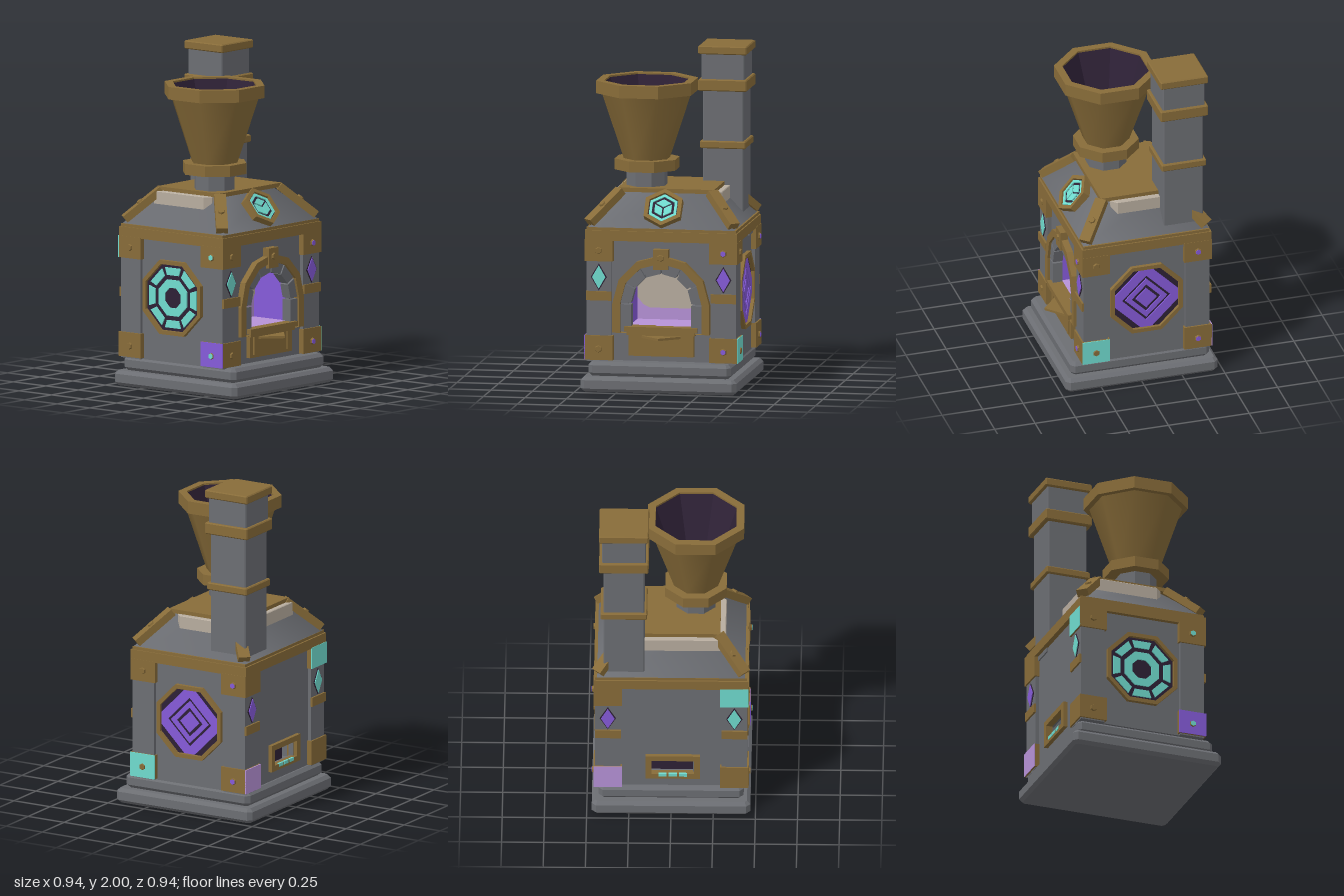
import * as THREE from 'three';

const mat = (name, color) => {
  const m = new THREE.MeshStandardMaterial({ color });
  m.name = name;
  return m;
};
const stone = mat('stone', 0x6c6e73), brass = mat('brass', 0x886c39), teal = mat('teal', 0x70dccf);
const violet = mat('violet', 0x865bda), lavender = mat('lavender', 0xb792d8);
const dark = mat('dark plum', 0x2e2136), cream = mat('cream', 0xb8ad9f);
dark.side = THREE.DoubleSide;

const PI = Math.PI, ZC = -0.03, C8 = Math.cos(PI / 8);

function add(parent, name, geo, material, x = 0, y = 0, z = 0) {
  const m = new THREE.Mesh(geo, material);
  m.name = name;
  m.position.set(x, y, z);
  parent.add(m);
  return m;
}
function addGroup(parent, name, x = 0, y = 0, z = 0) {
  const g = new THREE.Group();
  g.name = name;
  g.position.set(x, y, z);
  parent.add(g);
  return g;
}
const box = (p, name, m, x0, x1, y0, y1, z0, z1) =>
  add(p, name, new THREE.BoxGeometry(x1 - x0, y1 - y0, z1 - z0), m, (x0 + x1) / 2, (y0 + y1) / 2, (z0 + z1) / 2);
const pts = list => list.map(([x, y]) => new THREE.Vector2(x, y));
const poly = (n, r, start = 0) => Array.from({ length: n }, (_, i) => {
  const a = start + i * 2 * PI / n;
  return [r * Math.cos(a), r * Math.sin(a)];
});
const rect = (x, y0, y1) => [[-x, y0], [x, y0], [x, y1], [-x, y1]];
const oct = a => poly(8, a / C8, PI / 8);
function extrude(outer, depth, hole, bevel = 0) {
  const s = new THREE.Shape(pts(outer));
  if (hole) s.holes.push(new THREE.Path(pts(hole)));
  return new THREE.ExtrudeGeometry(s, {
    depth, bevelEnabled: bevel > 0, bevelSize: bevel, bevelThickness: bevel, bevelOffset: -bevel, bevelSegments: 1
  });
}
// Horizontal slab with cut corners and bevelled rims
function slab(p, name, m, hx, hz, y0, y1, cut, bevel, z = 0) {
  const a = hx - cut, b = hz - cut;
  const g = extrude([[hx, -b], [hx, b], [a, hz], [-a, hz], [-hx, b], [-hx, -b], [-a, -hz], [a, -hz]], y1 - y0 - 2 * bevel, null, bevel);
  add(p, name, g, m, 0, y0 + bevel, z).rotation.x = -PI / 2;
}
// Arch outline: straight legs down to y0, six straight segments on top
function arch(r, y0, cy = 0.52) {
  const out = [[-r, y0], [r, y0]];
  for (let i = 0; i <= 6; i++) out.push([r * Math.cos(i * PI / 6), cy + r * Math.sin(i * PI / 6)]);
  return out;
}
// Octagonal frustum measured across its flats
function octagon(top, bottom, h, open = false) {
  return new THREE.CylinderGeometry(top / C8, bottom / C8, h, 8, 1, open, PI / 8);
}
const flat = g => { const f = g.toNonIndexed(); f.computeVertexNormals(); return f; };

// Brass hex bolt along +z with a painted face
function bolt(p, face, x, y, z) {
  const b = addGroup(p, 'bolt', x, y, z);
  add(b, 'boltHead', flat(new THREE.CylinderGeometry(0.018, 0.022, 0.01, 6)), brass, 0, 0, 0.005).rotation.x = PI / 2;
  if (face !== brass) add(b, 'boltFace', extrude(poly(6, 0.017, PI / 6), 0.003), face, 0, 0, 0.0095);
  return b;
}

export function createModel() {
  const root = new THREE.Group();
  root.name = 'furnace';

  // Stepped base
  slab(root, 'lowerBase', stone, 0.47, 0.47, 0, 0.09, 0.025, 0.02);
  slab(root, 'upperBase', stone, 0.43, 0.43, 0.09, 0.175, 0.025, 0.02);

  // Hollow body
  for (const s of [-1, 1]) box(root, 'sideWall', stone, s * 0.41 - 0.02, s * 0.41 + 0.02, 0.17, 0.92, -0.395, 0.335);
  add(root, 'frontWall', extrude(rect(0.43, 0.17, 0.92), 0.03, arch(0.2, 0.37)), stone, 0, 0, 0.305);
  add(root, 'backWall', extrude(rect(0.43, 0.17, 0.92), 0.03, rect(0.13, 0.27, 0.37)), stone, 0, 0, -0.4);

  // Oven chamber
  box(root, 'ovenFloor', lavender, -0.2, 0.2, 0.36, 0.385, 0.05, 0.32);
  box(root, 'ovenBack', lavender, -0.2, 0.2, 0.38, 0.75, 0.05, 0.07);
  add(root, 'ovenGlow', extrude([[-0.12, 0.455], [0.12, 0.455], [0.16, 0.475], [0.195, 0.52], [0.195, 0.75], [-0.195, 0.75], [-0.195, 0.52], [-0.16, 0.475]], 0.006), cream, 0, 0, 0.07);
  for (const s of [-1, 1]) box(root, 'ovenSide', violet, s * 0.205 - 0.01, s * 0.205 + 0.01, 0.38, 0.75, 0.05, 0.306);
  box(root, 'ovenCeiling', violet, -0.2, 0.2, 0.735, 0.75, 0.05, 0.306);

  // Corner posts with brass blocks and middle straps
  for (const sx of [-1, 1]) for (const sz of [-1, 1]) {
    const post = addGroup(root, 'cornerPost', sx * 0.375, 0, ZC + sz * 0.315);
    box(post, 'postCore', stone, -0.075, 0.075, 0.17, 0.9, -0.075, 0.075);
    box(post, 'upperBlock', brass, -0.085, 0.085, 0.77, 0.9, -0.085, 0.085);
    box(post, 'lowerBlock', brass, -0.085, 0.085, 0.178, 0.325, -0.085, 0.085);
    box(post, 'strap', brass, -0.077, 0.077, 0.535, 0.59, sz * 0.08 - 0.006, sz * 0.08 + 0.006);
  }

  // Bolts, gems and painted plates; every side group faces its local +z
  const sides = [
    { name: 'frontSide', r: 0, px: 0.375, d: 0.4, bolts: [brass, violet], gems: [teal, violet], plates: [] },
    { name: 'leftSide', r: PI / 2, px: 0.315, d: 0.46, bolts: [brass, violet], plates: [[teal, -1, 0.178, 0.325]] },
    { name: 'backSide', r: PI, px: 0.375, d: 0.4, gems: [violet, teal],
      plates: [[lavender, -1, 0.178, 0.325], [teal, 1, 0.77, 0.9]] },
    { name: 'rightSide', r: -PI / 2, px: 0.315, d: 0.46, bolts: [brass, teal], plates: [[violet, 1, 0.178, 0.325]] }
  ];
  const side = {};
  for (const s of sides) {
    const g = side[s.name] = addGroup(root, s.name, 0, 0, ZC);
    g.rotation.y = s.r;
    [-1, 1].forEach((k, i) => {
      if (s.bolts) for (const y of [0.245, 0.835]) bolt(g, s.bolts[i], k * s.px, y, s.d);
      if (s.gems) {
        add(g, 'gemBack', extrude([[0, -0.08], [0.048, 0], [0, 0.08], [-0.048, 0]], 0.006), dark, k * s.px, 0.675, s.d - 0.012);
        add(g, 'gem', extrude([[0, -0.07], [0.04, 0], [0, 0.07], [-0.04, 0]], 0.008), s.gems[i], k * s.px, 0.675, s.d - 0.009);
      }
    });
    for (const [m, k, y0, y1] of s.plates) box(g, 'blockPlate', m, k * s.px - 0.085, k * s.px + 0.085, y0, y1, s.d - 0.003, s.d + 0.003);
  }

  // Octagonal windows on both sides
  for (const name of ['leftSide', 'rightSide']) {
    const w = addGroup(side[name], 'octagonWindow', 0, 0.56, 0.42);
    add(w, 'windowFrame', extrude(oct(0.222), 0.035, oct(0.198)), brass);
    add(w, 'windowPane', extrude(oct(0.2), 0.014), dark);
    if (name === 'leftSide') {
      const a = 0.195, b = 0.036;
      add(w, 'outerDiamond', extrude([[a, -b], [a, b], [b, a], [-b, a], [-a, b], [-a, -b], [-b, -a], [b, -a]], 0.008, poly(4, 0.15)), violet, 0, 0, 0.014);
      add(w, 'middleDiamond', extrude(poly(4, 0.13), 0.008, poly(4, 0.09)), violet, 0, 0, 0.014);
      add(w, 'centreDiamond', extrude(poly(4, 0.065), 0.008), violet, 0, 0, 0.014);
    } else {
      const o = oct(0.18), n = oct(0.135), mix = (p, q, t) => [p[0] + (q[0] - p[0]) * t, p[1] + (q[1] - p[1]) * t];
      for (let i = 0; i < 8; i++) {
        const j = (i + 1) % 8;
        add(w, 'ringSegment', extrude([mix(o[i], o[j], 0.1), mix(o[i], o[j], 0.9), mix(n[i], n[j], 0.9), mix(n[i], n[j], 0.1)], 0.008), teal, 0, 0, 0.014);
      }
      add(w, 'innerRing', extrude(oct(0.108), 0.008, oct(0.06)), teal, 0, 0, 0.014);
    }
  }

  // Oven mouth: brass arch, stone blocks, keystone
  add(root, 'brassArch', extrude(arch(0.292, 0.345), 0.05, arch(0.246, 0.346)), brass, 0, 0, 0.325);
  for (let i = 0; i < 6; i++) {
    const a = i * PI / 6 + 0.025, b = (i + 1) * PI / 6 - 0.025;
    const at = (r, t) => [r * Math.cos(t), 0.52 + r * Math.sin(t)];
    add(root, 'archStone', extrude([at(0.247, a), at(0.247, b), at(0.182, b), at(0.182, a)], 0.06), stone, 0, 0, 0.3);
  }
  for (const s of [-1, 1]) box(root, 'archLeg', stone, s * 0.214 - 0.033, s * 0.214 + 0.033, 0.35, 0.515, 0.3, 0.36);
  box(root, 'keystone', brass, -0.045, 0.045, 0.73, 0.85, 0.33, 0.382);
  bolt(root, brass, 0, 0.8, 0.382);

  // Tray under the mouth
  box(root, 'trayShelf', brass, -0.22, 0.22, 0.355, 0.385, 0.3, 0.387);
  box(root, 'trayMoulding', brass, -0.205, 0.205, 0.335, 0.355, 0.3, 0.378);
  box(root, 'trayBox', brass, -0.195, 0.195, 0.208, 0.335, 0.31, 0.362);
  for (const s of [-1, 1]) box(root, 'trayBracket', brass, s * 0.155 - 0.014, s * 0.155 + 0.014, 0.225, 0.335, 0.36, 0.372);
  add(root, 'trayLip', extrude([[-0.12, -0.36], [0, -0.468], [0.12, -0.36]], 0.014), brass, 0, 0.316, 0).rotation.x = -PI / 2;

  // Rear ash hatch
  add(root, 'hatchFrame', extrude(rect(0.162, 0.238, 0.4), 0.04, rect(0.126, 0.272, 0.366)), brass, -0.01, 0, -0.425);
  box(root, 'hatchVoid', dark, -0.2, 0.2, 0.18, 0.42, -0.28, -0.27);
  for (const x of [-0.07, -0.01, 0.05]) box(root, 'hatchEmber', teal, x - 0.024, x + 0.024, 0.255, 0.275, -0.428, -0.415);

  // Cornice and sloped roof with a softly shaded skin
  box(root, 'cornice', brass, -0.458, 0.458, 0.895, 0.955, ZC - 0.4, ZC + 0.4);
  box(root, 'corniceLip', brass, -0.45, 0.45, 0.955, 0.972, ZC - 0.39, ZC + 0.39);
  const roof = new THREE.CylinderGeometry(0.3, 0.5, 0.2, 4, 1, false, PI / 4), rp = roof.attributes.position;
  for (let i = 0; i < rp.count; i++) {
    const top = rp.getY(i) > 0;
    rp.setX(i, Math.sign(rp.getX(i)) * (top ? 0.245 : 0.44));
    rp.setZ(i, Math.sign(rp.getZ(i)) * (top ? 0.195 : 0.39));
  }
  add(root, 'roof', roof, stone, 0, 1.07, ZC);
  slab(root, 'roofCollar', cream, 0.323, 0.225, 1.0, 1.167, 0.035, 0.004, -0.08);
  box(root, 'roofPlate', brass, -0.29, 0.29, 1.165, 1.19, -0.275, 0.205);

  // Beams on the roof hips
  for (const sx of [-1, 1]) for (const sz of [-1, 1]) {
    const a = new THREE.Vector3(sx * 0.435, 0.998, ZC + sz * 0.375), b = new THREE.Vector3(sx * 0.275, 1.172, ZC + sz * 0.225);
    const mid = a.clone().add(b).multiplyScalar(0.5);
    const hip = addGroup(root, 'hipBeam', mid.x, mid.y, mid.z);
    hip.lookAt(b);
    add(hip, 'beam', new THREE.BoxGeometry(0.07, 0.045, a.distanceTo(b)), brass);
    bolt(hip, brass, 0, 0.0225, -0.005).rotation.x = -PI / 2;
  }

  // Hexagonal badge lying on the front slope
  const badge = addGroup(root, 'badge', 0, 1.063, 0.262);
  badge.rotation.x = -0.7;
  const hex = r => poly(6, r, PI / 6);
  add(badge, 'badgeFrame', extrude(hex(0.127), 0.05, hex(0.1)), brass);
  add(badge, 'badgeBack', extrude(hex(0.102), 0.034), dark);
  add(badge, 'badgeRing', extrude(hex(0.094), 0.008, hex(0.076)), teal, 0, 0, 0.034);
  const h = hex(0.064);
  for (let k = 0; k < 6; k += 2) {
    const q = [[0, 0], h[k], h[k + 1], h[(k + 2) % 6]], c = [h[k + 1][0] / 2, h[k + 1][1] / 2];
    add(badge, 'badgeTile', extrude(q.map(p => [c[0] + (p[0] - c[0]) * 0.82, c[1] + (p[1] - c[1]) * 0.82]), 0.008), teal, 0, 0, 0.034);
  }

  // Square chimney with a footing under the cornice
  const chimney = addGroup(root, 'chimney', 0.28, 0, -0.272);
  for (const [name, m, r, y0, y1] of [
    ['shaft', stone, 0.122, 0.95, 1.74], ['midBand', brass, 0.138, 1.385, 1.43], ['upperBand', brass, 0.147, 1.73, 1.8],
    ['upperShaft', stone, 0.13, 1.79, 1.96], ['cap', brass, 0.147, 1.95, 2]
  ]) slab(chimney, name, m, r, r, y0, y1, 0.006, 0.006);
  box(chimney, 'footing', stone, -0.13, 0.16, 0.868, 0.91, -0.136, 0.122);

  // Octagonal hopper
  const hopper = addGroup(root, 'hopper', -0.142, 0, 0.045);
  add(hopper, 'neck', flat(octagon(0.115, 0.115, 0.13)), stone, 0, 1.23, 0);
  add(hopper, 'collar', flat(octagon(0.182, 0.182, 0.065)), brass, 0, 1.318, 0);
  add(hopper, 'funnel', octagon(0.255, 0.13, 0.4, true), brass, 0, 1.55, 0);
  add(hopper, 'rim', extrude(oct(0.286), 0.075, oct(0.24)), brass, 0, 1.745, 0).rotation.x = -PI / 2;
  add(hopper, 'funnelLining', flat(octagon(0.239, 0.11, 0.41, true)), dark, 0, 1.605, 0);
  add(hopper, 'funnelFloor', extrude(oct(0.112), 0.006), dark, 0, 1.397, 0).rotation.x = -PI / 2;
  return root;
}
